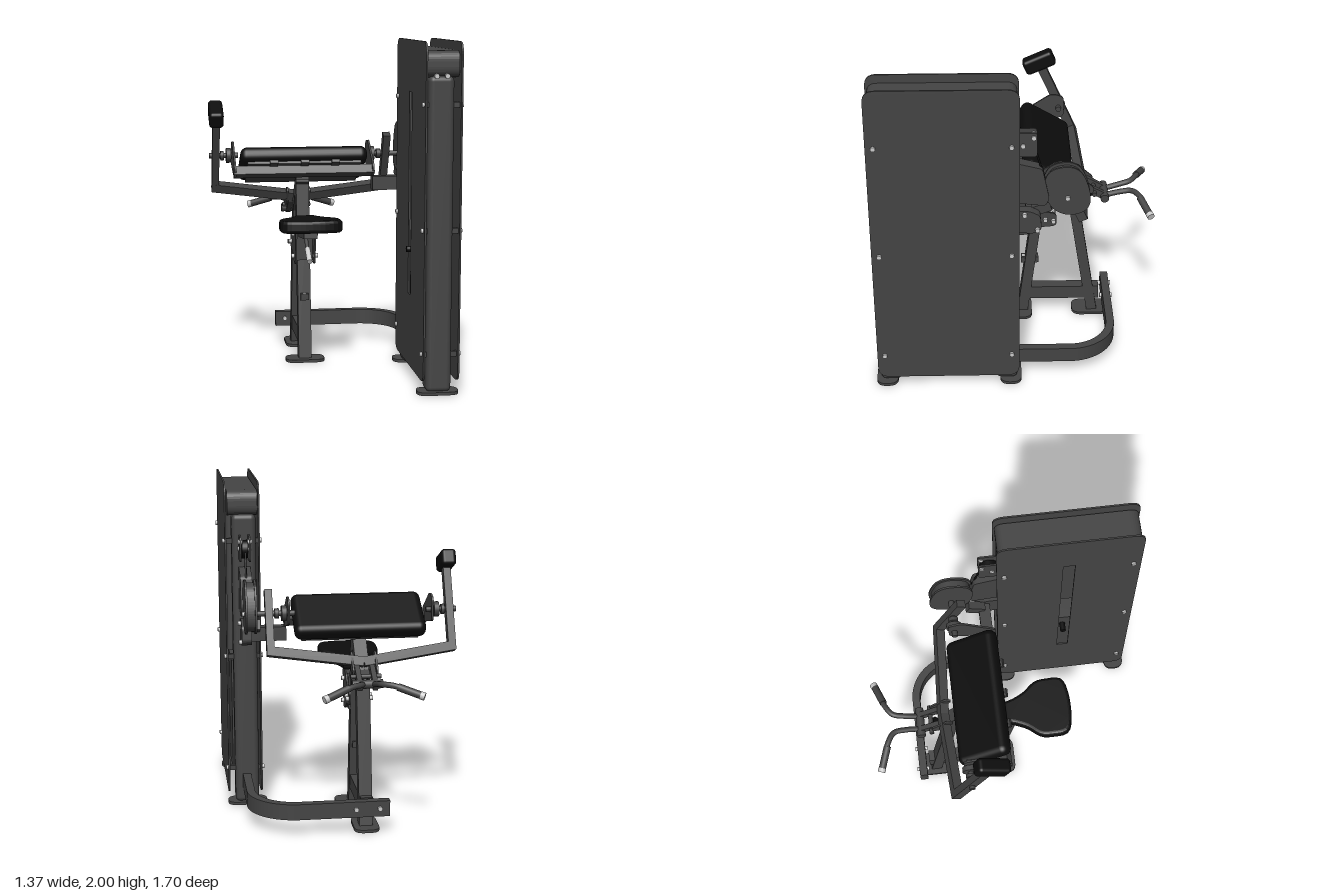
import * as THREE from 'three';
import { RoundedBoxGeometry } from 'three/addons/geometries/RoundedBoxGeometry.js';

const steel = new THREE.MeshStandardMaterial({ name: 'dark grey steel', color: 0x444444 });
const black = new THREE.MeshStandardMaterial({ name: 'black upholstery', color: 0x0d0d0d });
const chrome = new THREE.MeshStandardMaterial({ name: 'bright metal', color: 0xcccccc });
const MID = -0.11; // x of the seat and frame centre line
const V = (x, y, z) => new THREE.Vector3(x, y, z);

export function createModel() {
  const root = new THREE.Group();
  root.name = 'armCurlMachine';

  const add = (name, geo, mat = steel, parent = root) => {
    const m = new THREE.Mesh(geo, mat);
    m.name = name;
    parent.add(m);
    return m;
  };
  const box = (name, x, y, z, w, h, d, mat, parent) => {
    const m = add(name, new THREE.BoxGeometry(w, h, d), mat, parent);
    m.position.set(x, y, z);
    return m;
  };
  const pad = (name, x, y, z, w, h, d, r, tilt, mat = black, parent = root) => {
    const m = add(name, new RoundedBoxGeometry(w, h, d, 4, r), mat, parent);
    m.position.set(x, y, z);
    m.rotation.x = tilt;
    return m;
  };
  // Rectangular tube between two points
  const beam = (name, a, b, w, h, parent = root) => {
    const m = new THREE.Mesh(new THREE.BoxGeometry(w, h, a.distanceTo(b)), steel);
    m.name = name;
    m.position.copy(a).lerp(b, 0.5);
    m.lookAt(b);
    parent.add(m);
    return m;
  };
  // Round bar between two points
  const rod = (name, a, b, r, mat = steel, parent = root, sides = 20) => {
    const m = add(name, new THREE.CylinderGeometry(r, r, a.distanceTo(b), sides), mat, parent);
    m.position.copy(a).lerp(b, 0.5);
    m.quaternion.setFromUnitVectors(V(0, 1, 0), b.clone().sub(a).normalize());
    return m;
  };
  const boltX = (x, y, z, len = 0.02, r = 0.014) =>
    rod('bolt', V(x - len / 2, y, z), V(x + len / 2, y, z), r, chrome, root, 12);
  const boltZ = (x, y, z) => rod('bolt', V(x, y, z - 0.01), V(x, y, z + 0.01), 0.014, chrome, root, 12);
  // Polygon with rounded corners
  const roundPoly = (pts, r) => {
    const s = new THREE.Shape();
    const p = pts.map(([a, b]) => new THREE.Vector2(a, b));
    p.forEach((c, i) => {
      const toward = (q) => c.clone().add(q.clone().sub(c).setLength(Math.min(r, c.distanceTo(q) / 2)));
      const a = toward(p[(i + p.length - 1) % p.length]);
      const b = toward(p[(i + 1) % p.length]);
      i ? s.lineTo(a.x, a.y) : s.moveTo(a.x, a.y);
      s.quadraticCurveTo(c.x, c.y, b.x, b.y);
    });
    s.closePath();
    return s;
  };
  // Upright plate: shape in (z, y), thickness along x
  const plate = (name, shape, x, t, mat = steel, parent = root) => {
    const g = new THREE.ExtrudeGeometry(shape, { depth: t, bevelEnabled: false, curveSegments: 8 });
    g.translate(0, 0, -t / 2).rotateY(-Math.PI / 2).translate(x, 0, 0);
    return add(name, g, mat, parent);
  };
  // Oval floor foot
  const foot = (x, z, w, d) => {
    const h = [[-w / 2, -d / 2], [w / 2, -d / 2], [w / 2, d / 2], [-w / 2, d / 2]];
    const g = new THREE.ExtrudeGeometry(roundPoly(h, 0.06), { depth: 0.018, bevelEnabled: false });
    add('foot', g.rotateX(-Math.PI / 2)).position.set(x, 0, z);
  };
  const rect = (z0, y0, z1, y1) => [[z0, y0], [z1, y0], [z1, y1], [z0, y1]];

  // Weight tower: two shrouds, end posts, top cap and stack
  for (const x of [0.463, 0.663]) {
    const s = roundPoly(rect(-0.02, 0.07, 0.83, 2), 0.07);
    if (x < 0.5) s.holes.push(new THREE.Path(rect(0.37, 0.5, 0.44, 1.7).map(([a, b]) => new THREE.Vector2(a, b))));
    plate('shroud', s, x, 0.01);
    for (const y of [0.23, 0.94, 1.65]) for (const z of [0.025, 0.785]) {
      boltX(x, y, z, 0.036);
      box('shroudMount', 0.563, y, z, 0.19, 0.03, 0.03);
    }
  }
  for (const z of [0.055, 0.755]) pad('towerPost', 0.552, 0.91, z, 0.145, 1.8, 0.13, 0.03, 0, steel);
  plate('topCap', roundPoly(rect(-0.01, 1.8, 0.82, 1.95), 0.06), 0.56, 0.18);
  for (const x of [0.52, 0.58]) boltZ(x, 1.81, 0.82);
  box('towerBase', 0.552, 0.09, 0.4, 0.1, 0.07, 0.65);
  box('weightStack', 0.56, 0.5, 0.4, 0.13, 0.72, 0.3);
  for (const z of [0.3, 0.5]) rod('guideRod', V(0.56, 0.8, z), V(0.56, 1.82, z), 0.012);
  rod('selectorPin', V(0.44, 0.77, 0.4), V(0.5, 0.77, 0.4), 0.018, black);
  foot(0.55, 0.78, 0.24, 0.13);
  foot(0.55, 0.03, 0.24, 0.13);

  // Curved floor tube joining the tower to the seat frame
  const s = new THREE.Shape();
  s.moveTo(0.58, 0.01).lineTo(0.58, 0.33);
  s.absarc(0.29, 0.33, 0.29, 0, Math.PI / 2, false);
  s.lineTo(-0.24, 0.62).lineTo(-0.24, 0.57).lineTo(0.29, 0.57);
  s.absarc(0.29, 0.33, 0.24, Math.PI / 2, 0, true);
  s.lineTo(0.53, 0.01).closePath();
  const curve = new THREE.ExtrudeGeometry(s, { depth: 0.095, bevelEnabled: false, curveSegments: 20 });
  add('curvedBase', curve.rotateX(-Math.PI / 2)).position.y = 0.1;
  for (const x of [-0.18, -0.04]) for (const z of [-0.565, -0.625]) boltZ(x, 0.15, z);

  // Seat frame: front upright, rear leg, top link and floor link
  beam('frontUpright', V(MID, 0.01, -0.06), V(MID, 1.17, -0.2), 0.08, 0.065);
  beam('rearLeg', V(MID, 0.01, -0.51), V(MID, 0.93, -0.36), 0.08, 0.065);
  beam('topLink', V(MID, 0.91, -0.37), V(MID, 1.13, -0.17), 0.08, 0.065);
  box('floorLink', MID, 0.15, -0.3, 0.07, 0.09, 0.5);
  foot(MID, -0.05, 0.24, 0.14);
  foot(MID, -0.5, 0.15, 0.24);
  beam('heightStop', V(MID, 0.4, -0.05), V(MID, 0.4, -0.16), 0.05, 0.04);
  boltZ(MID, 0.41, -0.065);

  // Sliding seat carriage with release lever
  for (const m of [-1, 1]) {
    const x = MID + m * 0.058;
    plate('carriagePlate', roundPoly([[-0.02, 0.61], [-0.1, 0.62], [-0.15, 0.67], [-0.27, 0.68],
      [-0.27, 0.77], [-0.15, 0.79], [-0.1, 0.85], [0.02, 0.85]], 0.03), x, 0.01);
    for (const [z, y] of [[-0.06, 0.8], [-0.06, 0.66], [-0.2, 0.73], [-0.25, 0.72]]) boltX(x + m * 0.01, y, z, 0.03);
  }
  box('carriageSleeve', MID, 0.73, -0.115, 0.105, 0.2, 0.09);
  beam('seatArm', V(MID, 0.8, -0.04), V(MID, 0.835, 0.25), 0.08, 0.035);
  rod('leverShaft', V(MID, 0.78, 0.02), V(MID, 0.72, 0.1), 0.012, steel);
  rod('releaseLever', V(MID, 0.73, 0.09), V(MID, 0.67, 0.2), 0.016, chrome);

  // Seat cushion, narrow at the back
  const half = new THREE.SplineCurve([[0.05, 0.02], [0.065, -0.03], [0.1, -0.1], [0.155, -0.17],
    [0.165, -0.24], [0.155, -0.32], [0.08, -0.345], [0, -0.35]].map(([a, b]) => new THREE.Vector2(a, b))).getPoints(24);
  const outline = [...half, ...half.slice(0, -1).reverse().map((p) => new THREE.Vector2(-p.x, p.y))].reverse();
  const seatGeo = new THREE.ExtrudeGeometry(new THREE.Shape(outline),
    { depth: 0.035, bevelSize: 0.02, bevelThickness: 0.02, bevelSegments: 4 });
  const seat = add('seatCushion', seatGeo.rotateX(-Math.PI / 2), black);
  seat.position.set(MID, 0.865, 0);
  seat.rotation.x = -0.06;

  // Sloping arm pad on its cross frame
  pad('armPad', -0.108, 1.22, -0.2, 0.785, 0.1, 0.335, 0.042, -0.54);
  const padFrame = new THREE.Group();
  padFrame.name = 'padFrame';
  padFrame.position.set(-0.108, 1.22, -0.2);
  padFrame.rotation.x = -0.54;
  root.add(padFrame);
  box('padBoard', 0, -0.056, 0, 0.7, 0.015, 0.28, steel, padFrame);
  box('padCrossBar', 0, -0.09, 0.08, 0.87, 0.055, 0.06, steel, padFrame);
  for (const x of [-0.19, 0, 0.19]) box('padClip', x, -0.06, 0.14, 0.05, 0.02, 0.05, steel, padFrame);
  for (const x of [-0.535, 0.318]) {
    plate('padSidePlate', roundPoly([[-0.33, 1.2], [-0.06, 1.14], [-0.04, 1.22], [-0.25, 1.36], [-0.33, 1.34]], 0.03), x, 0.012);
  }
  box('towerSupport', 0.43, 1.105, -0.095, 0.23, 0.085, 0.07);
  plate('towerSupportPlate', roundPoly([[0, 1.04], [-0.1, 1.03], [-0.15, 1.06], [-0.14, 1.15], [-0.08, 1.18], [0, 1.18]], 0.02), 0.552, 0.06);
  beam('supportBrace', V(0.5, 1.14, -0.1), V(0.5, 1.18, -0.2), 0.05, 0.06);
  for (const [y, z] of [[1.16, -0.05], [1.06, -0.125]]) boltX(0.59, y, z);

  // Pivot shafts, collars and cable cam
  const Y = 1.265, Z = -0.295;
  const shafts = [[-0.68, -0.5, 0.017], [-0.61, -0.59, 0.03], [-0.575, -0.545, 0.046],
    [0.28, 0.54, 0.017], [0.33, 0.36, 0.046], [0.375, 0.4, 0.03]];
  for (const [a, b, r] of shafts) rod('pivot', V(a, Y, Z), V(b, Y, Z), r);
  const camProfile = roundPoly([[-0.2, 1.46], [-0.36, 1.47], [-0.43, 1.3], [-0.42, 1.18],
    [-0.3, 1.14], [-0.19, 1.2], [-0.15, 1.36]], 0.09);
  for (const x of [0.515, 0.57]) plate('camFlange', camProfile, x, 0.012);
  const core = plate('camCore', camProfile, 0, 0.05);
  core.scale.set(1, 0.9, 0.9);
  core.position.set(0.542, 0.13, -0.03);
  boltX(0.58, Y, Z);
  plate('camBracket', roundPoly([[0, 1.24], [-0.17, 1.22], [-0.19, 1.27], [-0.15, 1.46], [0, 1.5]], 0.02), 0.552, 0.07);

  // Upper pulley on the tower
  for (const x of [0.525, 0.58]) {
    plate('pulleyPlate', roundPoly(rect(-0.12, 1.54, 0, 1.69), 0.02), x, 0.01);
    for (const [y, z] of [[1.66, -0.1], [1.61, -0.04]]) boltX(x, y, z, 0.026);
  }
  rod('pulleyWheel', V(0.535, 1.61, -0.055), V(0.57, 1.61, -0.055), 0.055, black, root, 28);
  rod('cable', V(0.552, 1.6, -0.1), V(0.552, 1.4, -0.16), 0.006, black);

  // Swinging arm, hung on the pivot line and tilted
  const swing = new THREE.Group();
  swing.name = 'swingArm';
  swing.position.set(0, Y, Z);
  swing.rotation.x = 0.42;
  root.add(swing);
  beam('counterArm', V(-0.64, -0.25, 0), V(-0.64, 0.26, 0), 0.045, 0.055, swing);
  beam('driveArm', V(0.433, -0.25, 0), V(0.433, 0.14, 0), 0.045, 0.055, swing);
  beam('crossArm', V(-0.655, -0.225, 0), V(MID, -0.305, 0), 0.055, 0.055, swing);
  beam('crossArm', V(0.452, -0.225, 0), V(MID, -0.305, 0), 0.055, 0.055, swing);
  pad('counterPad', -0.643, 0.295, 0, 0.088, 0.1, 0.2, 0.022, 0, black, swing);

  // Handle carrier under the swinging arm
  for (const m of [-1, 1]) {
    const x = MID + m * 0.07;
    plate('forkPlate', roundPoly([[-0.36, 1.03], [-0.4, 1.05], [-0.5, 0.96], [-0.49, 0.92], [-0.42, 0.93]], 0.015), x, 0.012);
    beam('carrierRail', V(MID + m * 0.045, 0.97, -0.42), V(MID + m * 0.045, 0.875, -0.59), 0.03, 0.045);
  }
  rod('carrierPin', V(-0.2, 0.92, -0.5), V(-0.02, 0.92, -0.5), 0.014);
  rod('carrierTube', V(-0.2, 0.89, -0.565), V(-0.02, 0.89, -0.565), 0.026);
  rod('adjustKnob', V(MID, 0.91, -0.47), V(MID, 0.875, -0.495), 0.02, black);

  // Bent handles with grips
  for (const m of [-1, 1]) {
    const at = (x, y, z) => V(MID + m * x, y, z);
    const path = new THREE.CatmullRomCurve3([at(0.04, 0.89, -0.57), at(0.045, 0.915, -0.66),
      at(0.06, 0.93, -0.73), at(0.12, 0.93, -0.772), at(0.275, 0.88, -0.828)]);
    add('handle', new THREE.TubeGeometry(path, 32, 0.017, 12));
    rod('grip', at(0.14, 0.925, -0.778), at(0.262, 0.884, -0.823), 0.022);
    rod('gripEnd', at(0.262, 0.884, -0.823), at(0.285, 0.877, -0.832), 0.023, chrome);
  }
  return root;
}
